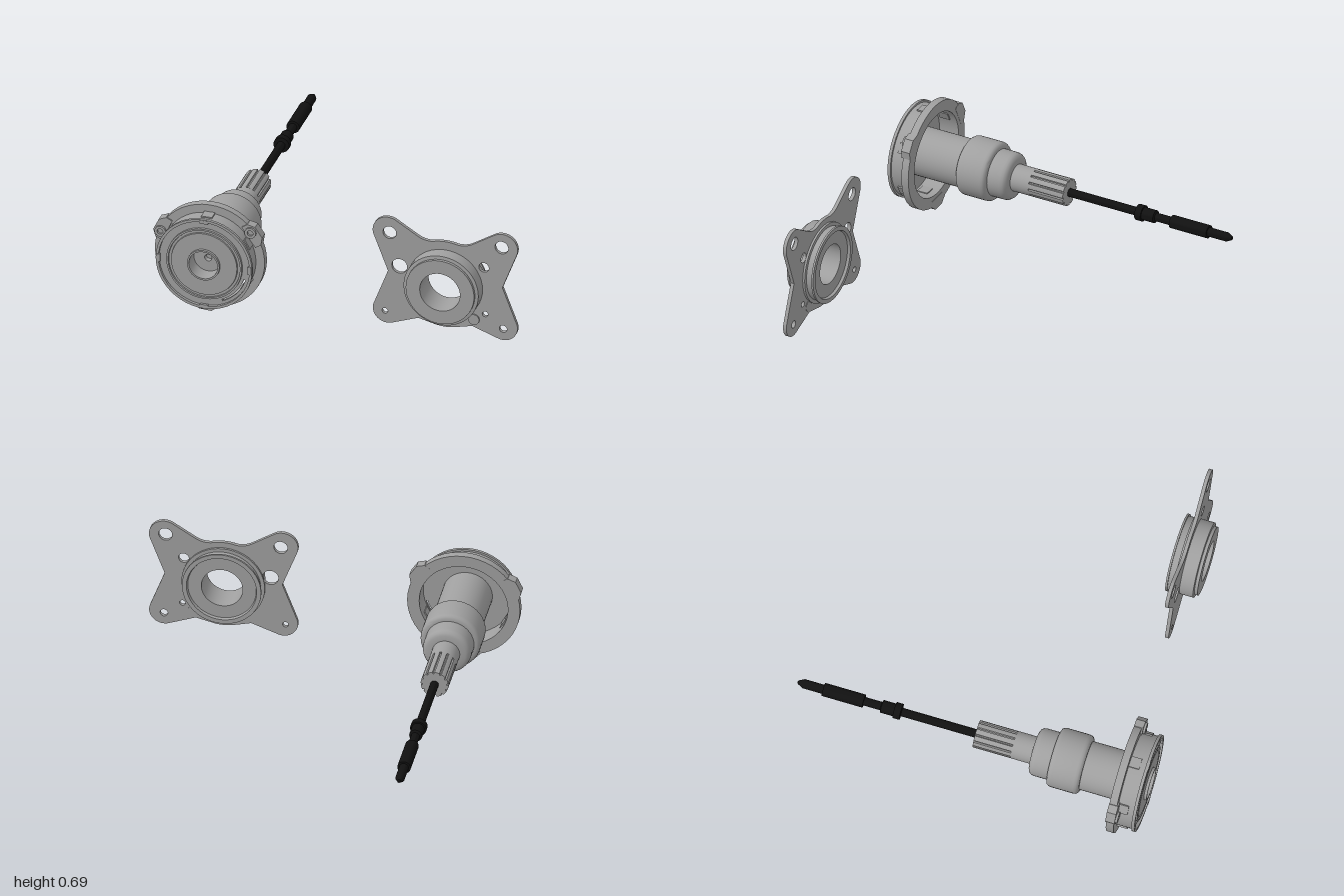
import * as THREE from 'three';
import { toCreasedNormals } from 'three/addons/utils/BufferGeometryUtils.js';

const metal = new THREE.MeshStandardMaterial({ color: 0xa0a0a0 });
metal.name = 'grey metal';
const black = new THREE.MeshStandardMaterial({ color: 0x111111 });
black.name = 'black steel';

const rad = THREE.MathUtils.degToRad;

function add(parent, name, geometry, material = metal) {
  const mesh = new THREE.Mesh(geometry, material);
  mesh.name = name;
  parent.add(mesh);
  return mesh;
}

// Turned part about the z axis from [radius, z] pairs, outside running towards +z
function turned(profile, segments = 40) {
  const g = new THREE.LatheGeometry(profile.map(([r, z]) => new THREE.Vector2(r, z)), segments);
  g.rotateX(Math.PI / 2);
  return toCreasedNormals(g, 0.6);
}

// Flat plate between two z levels
function plate(shape, z0, z1) {
  const g = new THREE.ExtrudeGeometry(shape, { depth: z1 - z0, bevelEnabled: false, curveSegments: 24 });
  g.translate(0, 0, z0);
  return toCreasedNormals(g, 0.5);
}

function circle(x, y, r) {
  return new THREE.Path().absarc(x, y, r, 0, Math.PI * 2);
}

function disc(r) {
  return new THREE.Shape().absarc(0, 0, r, 0, Math.PI * 2);
}

function createShaftAssembly() {
  const group = new THREE.Group();
  group.name = 'shaftAssembly';

  // Open cup: flange, drum wall and front lip
  add(group, 'cupHousing', turned([
    [0.24, 0.82], [0.305, 0.82], [0.305, 0.862], [0.257, 0.862], [0.257, 0.95], [0.268, 0.95],
    [0.268, 0.967], [0.253, 0.967], [0.253, 0.94], [0.24, 0.94], [0.24, 0.82],
  ], 48));

  // Cup floor with a thin curved slot
  const floor = disc(0.256);
  const slot = new THREE.Path();
  slot.absarc(0, 0, 0.236, rad(-65), rad(-17), false);
  slot.absarc(0, 0, 0.226, rad(-17), rad(-65), true);
  floor.holes.push(slot, circle(0, 0, 0.12));
  add(group, 'cupFloor', plate(floor, 0.935, 0.95));

  // Stepped hub with two rounded bulges and a recessed front
  add(group, 'steppedHub', turned([
    [0.06, 0.22], [0.075, 0.22], [0.075, 0.33], [0.105, 0.331], [0.12, 0.338], [0.128, 0.35],
    [0.131, 0.365], [0.131, 0.44], [0.145, 0.441], [0.155, 0.446], [0.161, 0.455], [0.163, 0.468],
    [0.163, 0.592], [0.161, 0.605], [0.155, 0.614], [0.145, 0.62], [0.134, 0.62], [0.134, 0.935],
    [0.21, 0.935], [0.21, 0.965], [0.2, 0.965], [0.198, 0.957], [0.185, 0.957], [0.183, 0.965],
    [0.09, 0.965], [0.09, 0.98], [0.08, 0.98], [0.08, 0.89], [0.02, 0.89], [0.02, 0.86], [0, 0.86],
  ]));

  // Splined end
  const teeth = 12;
  const spline = new THREE.Shape();
  for (let i = 0; i < teeth; i++) {
    const a = 360 / teeth * i;
    spline.absarc(0, 0, 0.075, rad(a), rad(a + 21), false);
    spline.absarc(0, 0, 0.066, rad(a + 23), rad(a + 28), false);
  }
  spline.closePath();
  add(group, 'splinedEnd', plate(spline, 0.01, 0.22));

  // Flange lugs, each with a hollow bolt boss
  [[34, 38], [154, 158], [266, 261]].forEach(([lugAngle, bossAngle]) => {
    const lug = new THREE.Shape([
      [0.262, -0.068], [0.3, -0.068], [0.33, -0.035], [0.33, 0.035], [0.3, 0.068], [0.262, 0.068],
    ].map(([x, y]) => new THREE.Vector2(x, y)));
    add(group, 'flangeLug', plate(lug, 0.819, 0.87)).rotation.z = rad(lugAngle);
    const boss = disc(0.031);
    boss.holes.push(circle(0, 0, 0.016));
    const mesh = add(group, 'boltBoss', plate(boss, 0.865, 0.882));
    mesh.position.set(0.292 * Math.cos(rad(bossAngle)), 0.292 * Math.sin(rad(bossAngle)), 0);
  });

  // Pads on the drum wall and small studs on its front
  for (let i = 0; i < 6; i++) {
    const a = rad(30 + 60 * i);
    const pad = add(group, 'drumPad', new THREE.BoxGeometry(0.03, 0.06, 0.06));
    pad.position.set(0.248 * Math.cos(a), 0.248 * Math.sin(a), 0.89);
    pad.rotation.z = a;
  }
  for (let i = 0; i < 4; i++) {
    const a = Math.PI / 2 * i;
    const stud = add(group, 'frontStud', new THREE.BoxGeometry(0.02, 0.045, 0.014));
    stud.position.set(0.254 * Math.cos(a), 0.254 * Math.sin(a), 0.962);
    stud.rotation.z = a;
  }

  // Long rod with collars and a pointed tip
  add(group, 'rod', turned([
    [0, -0.985], [0.01, -0.98], [0.025, -0.95], [0.025, -0.84], [0.036, -0.84], [0.036, -0.615],
    [0.023, -0.615], [0.023, -0.52], [0.035, -0.515], [0.035, -0.445], [0.044, -0.445],
    [0.044, -0.408], [0.023, -0.405], [0.023, 0.03], [0, 0.03],
  ], 24), black);

  group.position.set(-0.695, 0.335, 0);
  return group;
}

function createMountingPlate() {
  const group = new THREE.Group();
  group.name = 'mountingPlate';

  // Four-lobed outline, clockwise from the top
  const s = new THREE.Shape();
  s.absarc(0, 0, 0.257, rad(105), rad(75), true);
  s.quadraticCurveTo(0.11, 0.242, 0.15, 0.264);
  s.absarc(0.318, 0.268, 0.085, rad(122), rad(-20), true);
  s.lineTo(0.318, 0.03);
  s.absarc(0.322, -0.205, 0.08, rad(20), rad(-110), true);
  s.lineTo(0.15, -0.228);
  s.quadraticCurveTo(0.11, -0.238, 0.066, -0.248);
  s.absarc(0, 0, 0.257, rad(-75), rad(-105), true);
  s.quadraticCurveTo(-0.11, -0.238, -0.15, -0.228);
  s.absarc(-0.322, -0.205, 0.08, rad(-70), rad(-200), true);
  s.lineTo(-0.318, 0.03);
  s.absarc(-0.318, 0.268, 0.085, rad(200), rad(58), true);
  s.lineTo(-0.15, 0.264);
  s.quadraticCurveTo(-0.11, 0.242, -0.066, 0.248);
  [
    [-0.309, 0.262, 0.037], [0.314, 0.272, 0.037], [-0.335, -0.215, 0.016], [0.322, -0.218, 0.021],
    [-0.254, 0.068, 0.043], [0.215, 0.136, 0.028], [0.222, -0.145, 0.016], [0, 0, 0.15],
  ].forEach(([x, y, r]) => s.holes.push(circle(x, y, r)));
  add(group, 'lobedPlate', plate(s, 0.782, 0.802));

  // Bored hub through the plate, with a shallow recess behind
  add(group, 'boredHub', turned([
    [0.112, 0.74], [0.185, 0.74], [0.19, 0.725], [0.214, 0.725], [0.214, 0.736], [0.205, 0.736],
    [0.205, 0.77], [0.225, 0.77], [0.225, 0.783], [0.208, 0.79], [0.208, 0.877], [0.19, 0.88],
    [0.19, 0.897], [0.112, 0.897], [0.112, 0.74],
  ], 48));

  // Small blind boss
  const boss = add(group, 'blindBoss', new THREE.CylinderGeometry(0.031, 0.031, 0.03, 24));
  boss.rotation.x = Math.PI / 2;
  boss.position.set(0.16, -0.185, 0.795);

  group.position.set(0.595, 0.34, 0);
  return group;
}

export function createModel() {
  const model = new THREE.Group();
  model.name = 'shaftAndMountingPlate';
  model.add(createShaftAssembly(), createMountingPlate());
  return model;
}
